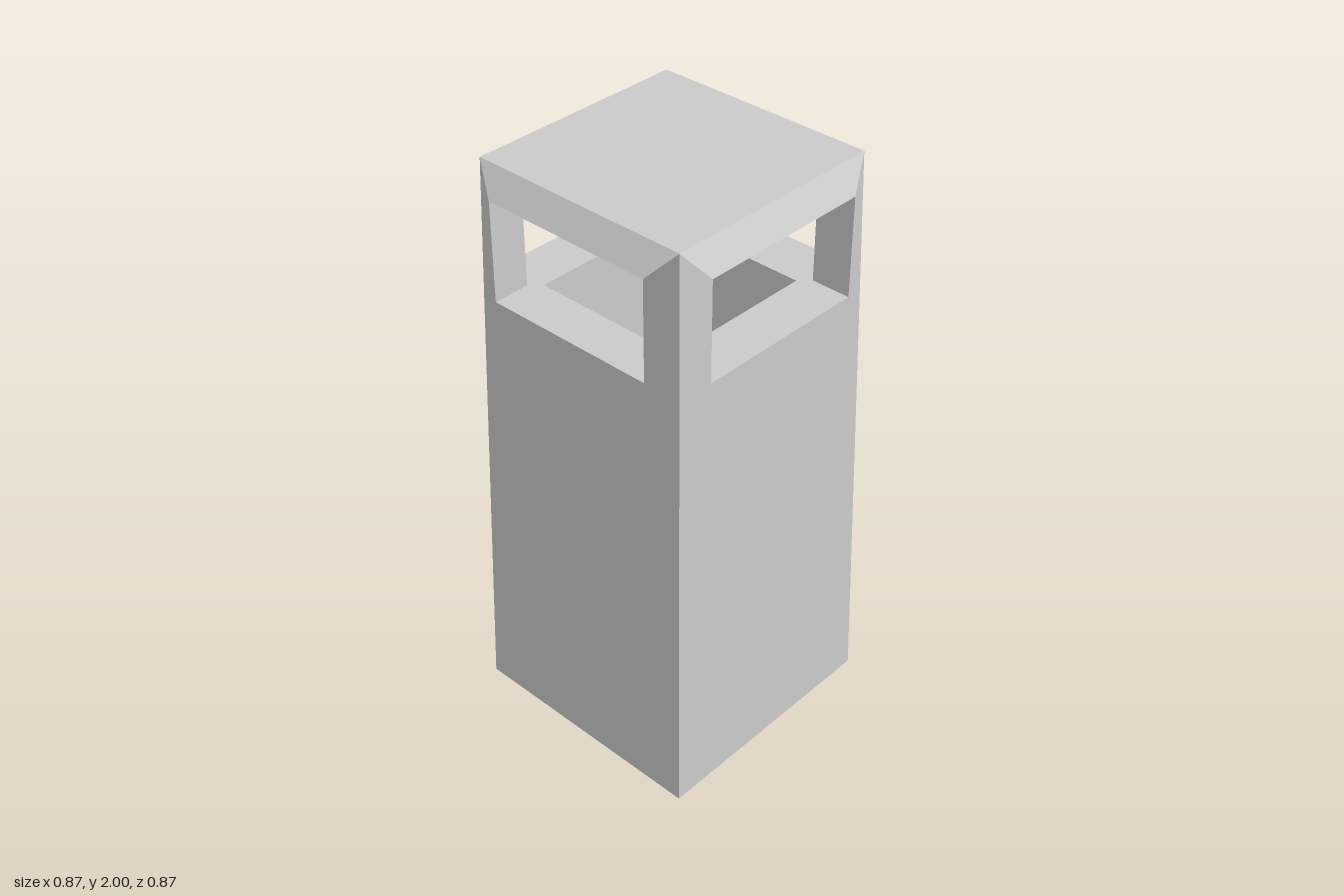
import * as THREE from 'three';

const BASE = 0.435, TOP = 0.385, HEIGHT = 2;
const WIN = 0.3, SILL = 1.575, HEAD = 1.91; // window half width and its heights
const PIT = 0.265, PIT_FLOOR = 0.1, SHIFT = 0.01; // inner hollow, and openings' offset in z

// Collects flat polygons (corners counter-clockwise from outside) into one mesh
function faceSet(name) {
  const pos = [], nor = [];
  return {
    add(corners, normal) {
      const v = corners.map((c) => new THREE.Vector3(...c));
      for (let i = 1; i < v.length - 1; i++) {
        const tri = [v[0], v[i], v[i + 1]];
        const n = normal || new THREE.Triangle(...tri).getNormal(new THREE.Vector3());
        for (const p of tri) {
          pos.push(p.x, p.y, p.z);
          nor.push(n.x, n.y, n.z);
        }
      }
    },
    mesh() {
      const g = new THREE.BufferGeometry();
      g.setAttribute('position', new THREE.Float32BufferAttribute(pos, 3));
      g.setAttribute('normal', new THREE.Float32BufferAttribute(nor, 3));
      const m = new THREE.Mesh(g, new THREE.MeshStandardMaterial({ color: 0xcccccc }));
      m.name = name;
      return m;
    },
  };
}

export function createModel() {
  const group = new THREE.Group();
  group.name = 'lanternTower';
  const walls = faceSet('taperedWalls');
  const lintels = faceSet('slopedLintels');
  const openings = faceSet('windowReveals');
  const hollow = faceSet('innerHollow');
  const caps = faceSet('roofAndBase');

  // Corner signs, counter-clockwise seen from above, starting front left of the picture plane
  const corners = [[-1, 1], [1, 1], [1, -1], [-1, -1]];
  const at = ([sx, sz], y, half, shift = 0) => [sx * half, y, sz * half + shift];
  const ring = (y, half, shift) => corners.map((c) => at(c, y, half, shift));

  corners.forEach((a, i) => {
    const b = corners[(i + 1) % 4];
    const n = new THREE.Vector3((a[0] + b[0]) / 2, 0, (a[1] + b[1]) / 2);
    const inner = (c, y) => at(c, y, WIN, SHIFT);
    // window corner on the outer face of this side
    const outer = (c, y) => {
      const p = inner(c, y);
      if (n.x) p[0] = n.x * BASE;
      else p[2] = n.z * BASE;
      return p;
    };
    const Ba = at(a, 0, BASE), Bb = at(b, 0, BASE);
    const Ta = at(a, HEIGHT, TOP), Tb = at(b, HEIGHT, TOP);
    const sa = outer(a, SILL), sb = outer(b, SILL), ha = outer(a, HEAD), hb = outer(b, HEAD);
    const isa = inner(a, SILL), isb = inner(b, SILL), iha = inner(a, HEAD), ihb = inner(b, HEAD);

    // Panel below the window and the strips beside it
    walls.add([Ba, Bb, sb, sa], n);
    walls.add([Bb, Tb, hb, sb], n);
    walls.add([Ba, sa, ha, Ta], n);
    lintels.add([ha, hb, Tb, Ta]);

    // Sill, head and jambs through the wall
    openings.add([sa, sb, isb, isa]);
    openings.add([hb, ha, iha, ihb]);
    openings.add([sa, isa, iha, ha]);
    openings.add([isb, sb, hb, ihb]);

    // Ledge around the hollow and its inner wall
    const pa = at(a, SILL, PIT, SHIFT), pb = at(b, SILL, PIT, SHIFT);
    openings.add([isa, isb, pb, pa]);
    hollow.add([at(b, PIT_FLOOR, PIT, SHIFT), at(a, PIT_FLOOR, PIT, SHIFT), pa, pb]);
  });

  // Horizontal faces
  hollow.add(ring(PIT_FLOOR, PIT, SHIFT));
  openings.add(ring(HEAD, WIN, SHIFT).reverse());
  caps.add(ring(HEIGHT, TOP));
  caps.add(ring(0, BASE).reverse());

  for (const part of [walls, lintels, openings, hollow, caps]) group.add(part.mesh());
  return group;
}
